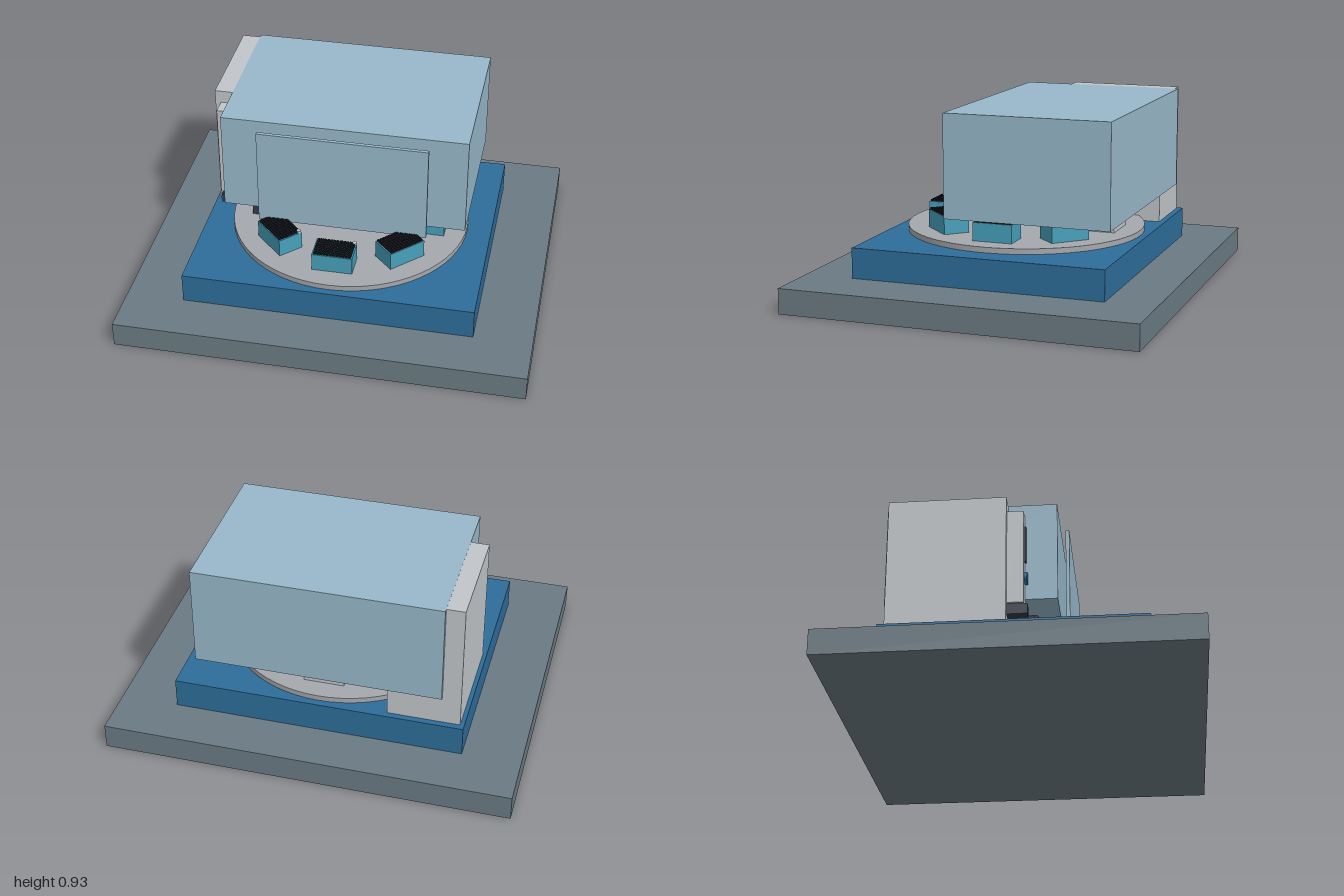
import * as THREE from 'three';

const mat = (name, color) => {
  const m = new THREE.MeshStandardMaterial({ color });
  m.name = name;
  return m;
};

export function createModel() {
  const root = new THREE.Group();
  root.name = 'foodCounter';
  const slate = mat('slate', 0x6b7b83);
  const blue = mat('blue', 0x2d6d99);
  const glass = mat('paleGlass', 0x98b8ca);
  const paleGrey = mat('paleGrey', 0xc1c6ca);
  const steel = mat('steel', 0xa5a8ac);
  const teal = mat('teal', 0x46a0bb);
  const dark = mat('darkSlate', 0x343a48);
  const black = mat('black', 0x17191f);

  const add = (parent, name, geo, material, x = 0, y = 0, z = 0) => {
    const m = new THREE.Mesh(geo, material);
    m.name = name;
    m.position.set(x, y, z);
    parent.add(m);
    return m;
  };
  // box given by its limits on each axis
  const box = (parent, name, material, [x0, x1], [y0, y1], [z0, z1]) =>
    add(parent, name, new THREE.BoxGeometry(x1 - x0, y1 - y0, z1 - z0), material,
      (x0 + x1) / 2, (y0 + y1) / 2, (z0 + z1) / 2);

  // floor, plinth and turntable
  box(root, 'floorSlab', slate, [-1, 1], [0, 0.125], [-0.875, 0.875]);
  box(root, 'plinth', blue, [-0.715, 0.715], [0.125, 0.275], [-0.63, 0.63]);
  add(root, 'turntable', new THREE.CylinderGeometry(0.595, 0.595, 0.027, 64), steel, 0, 0.2885, 0);

  // glass hood and front pane
  box(root, 'glassHood', glass, [-0.605, 0.605], [0.425, 0.93], [-0.62, 0.2]);
  box(root, 'frontPane', glass, [-0.42, 0.42], [0.385, 0.887], [0.227, 0.245]);

  // control cabinet
  const cabinet = new THREE.Group();
  cabinet.name = 'controlCabinet';
  root.add(cabinet);
  box(cabinet, 'cabinetBody', paleGrey, [-0.695, -0.34], [0.275, 0.929], [-0.6, -0.035]);
  box(cabinet, 'controlPanel', paleGrey, [-0.668, -0.367], [0.382, 0.865], [-0.035, 0.045]);
  box(cabinet, 'screen', dark, [-0.63, -0.405], [0.615, 0.8], [0.045, 0.053]);
  box(cabinet, 'sensor', dark, [-0.66, -0.61], [0.327, 0.38], [-0.035, 0.062]);
  for (const x of [-0.615, -0.5175, -0.42]) {
    add(cabinet, 'button', new THREE.CylinderGeometry(0.03, 0.03, 0.014, 24), blue, x, 0.53, 0.052)
      .rotation.x = Math.PI / 2;
  }

  // trays of small pieces around the turntable
  const pieceGeo = new THREE.BoxGeometry(0.0125, 0.012, 0.0125);
  const makeTray = (angle, material) => {
    const tray = new THREE.Group();
    tray.name = 'tray';
    tray.position.set(0.425 * Math.sin(angle), 0, 0.425 * Math.cos(angle));
    tray.rotation.y = angle;
    root.add(tray);
    box(tray, 'trayBody', material, [-0.1, 0.1], [0.3, 0.392], [-0.065, 0.065]);
    const pieces = new THREE.InstancedMesh(pieceGeo, black, 96);
    pieces.name = 'pieces';
    const grid = new THREE.Group();
    grid.name = 'pieceGrid';
    for (let i = 0; i < 12; i++) for (let j = 0; j < 8; j++) {
      add(grid, 'piece', pieceGeo, black, (i - 5.5) * 0.0158, 0.395, (j - 3.5) * 0.0155);
    }
    tray.add(grid);
    add(tray, 'trayKnob', new THREE.CylinderGeometry(0.011, 0.011, 0.012, 12), paleGrey, 0.09, 0.397, -0.055);
  };
  for (let k = 0; k < 8; k++) {
    if (k === 4) continue;
    makeTray(k * Math.PI / 4, k === 6 ? dark : teal);
  }

  // lidded bin at the back
  const bin = new THREE.Group();
  bin.name = 'rearBin';
  root.add(bin);
  box(bin, 'binBody', paleGrey, [-0.1, 0.1], [0.3, 0.405], [-0.49, -0.36]);
  box(bin, 'binLid', steel, [-0.11, 0.11], [0.405, 0.428], [-0.503, -0.35]);
  box(bin, 'binHandle', dark, [0.11, 0.115], [0.408, 0.415], [-0.45, -0.405]);

  return root;
}
